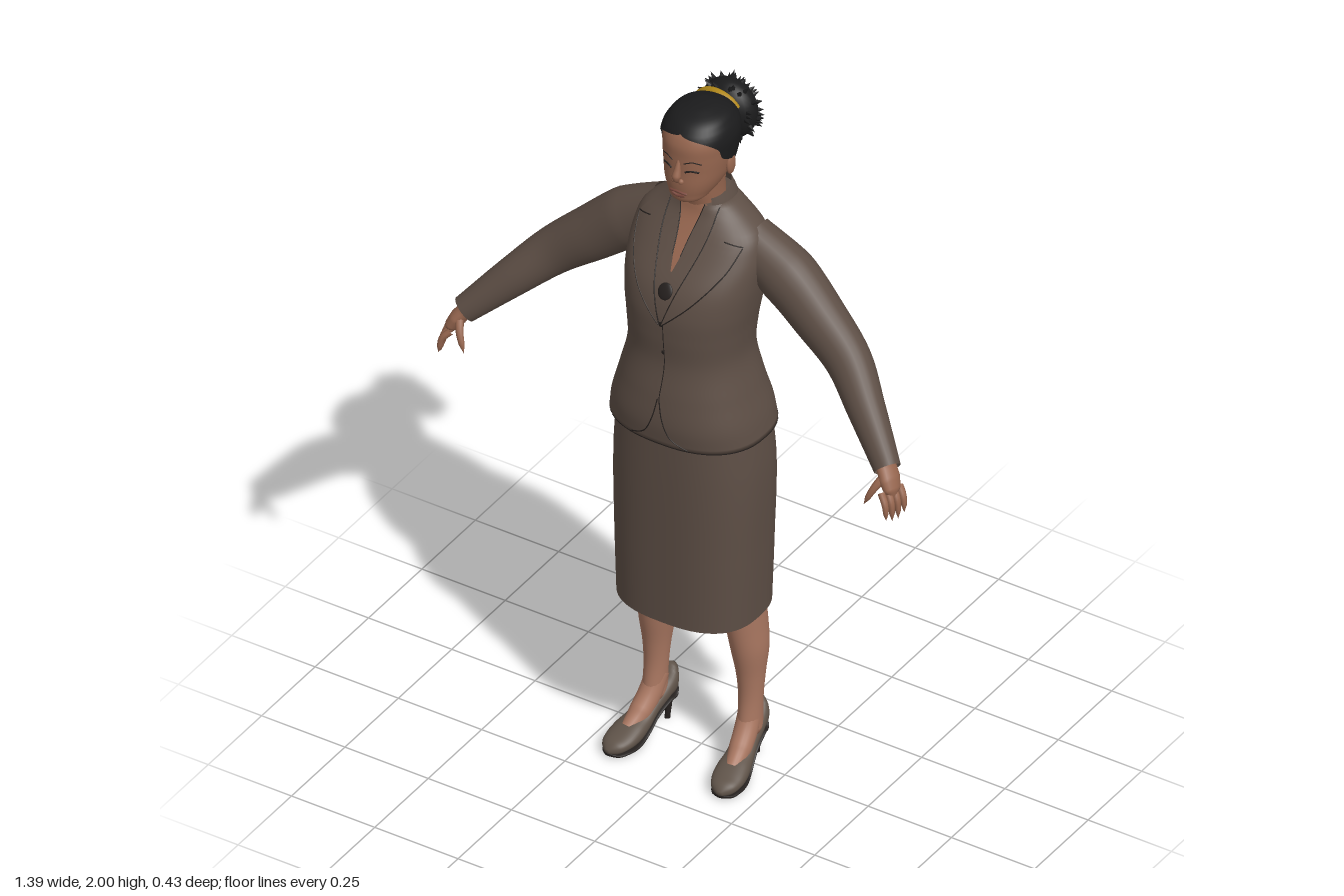
import * as THREE from 'three';
import { mergeVertices, mergeGeometries } from 'three/addons/utils/BufferGeometryUtils.js';

const mat = (name, color, side = THREE.FrontSide) => {
  const m = new THREE.MeshStandardMaterial({ color, side });
  m.name = name;
  return m;
};
const M = {
  suit: mat('suit brown', 0x5d4e45, THREE.DoubleSide),
  skin: mat('skin', 0x96664f),
  legs: mat('stockings', 0xa87660),
  hair: mat('hair black', 0x1b1b1c, THREE.DoubleSide),
  dark: mat('dark trim', 0x241f1d, THREE.DoubleSide),
  gold: mat('gold band', 0xb08718),
  shoe: mat('shoe taupe', 0x5f5349),
  lips: mat('lips', 0x7d4a3f),
};

function finish(g) {
  g.deleteAttribute('uv');
  g.deleteAttribute('normal');
  g = mergeVertices(g, 1e-5);
  g.computeVertexNormals();
  return g;
}
const add = (group, name, geo, material) => {
  const mesh = new THREE.Mesh(geo, material);
  mesh.name = name;
  group.add(mesh);
  return mesh;
};

// Smooth profile through rows of [y, half width, front z, back z, roundness, centre x]
function profile(rows) {
  const full = rows.map(([y, w, f, b, n = 2.2, c = 0]) => [y, w, f, b, n, c]);
  const curve = new THREE.CubicInterpolant(full.map(r => r[0]), full.flatMap(r => r.slice(1)), 5);
  return y => [...curve.evaluate(y)];
}

// Stacked cross-sections; gap(y) is the half angle left open at the front
function body(rows, { seg = 40, steps = 40, off = 0, gap = () => 0, caps = true } = {}) {
  const at = profile(rows), y0 = rows[0][0], y1 = rows[rows.length - 1][0];
  const pos = [], idx = [], n1 = seg + 1;
  for (let j = 0; j <= steps; j++) {
    const y = y0 + (y1 - y0) * j / steps, [w, f, b, n, c] = at(y), g = gap(y);
    for (let i = 0; i <= seg; i++) {
      const a = Math.PI / 2 + g + (i / seg) * (2 * Math.PI - 2 * g);
      const p = v => Math.sign(v) * Math.abs(v) ** (2 / n);
      pos.push(c + (w + off) * p(Math.cos(a)), y, (f + b) / 2 + ((f - b) / 2 + off) * p(Math.sin(a)));
      if (i < seg && j < steps) {
        const k = j * n1 + i;
        idx.push(k, k + n1, k + 1, k + 1, k + n1, k + n1 + 1);
      }
    }
  }
  if (caps) for (const j of [0, steps]) {
    const y = y0 + (y1 - y0) * j / steps, [, f, b, , c] = at(y), mid = pos.length / 3;
    pos.push(c, y, (f + b) / 2);
    for (let i = 0; i < seg; i++) {
      const k = j * n1 + i;
      idx.push(mid, ...(j ? [k + 1, k] : [k, k + 1]));
    }
  }
  const g = new THREE.BufferGeometry();
  g.setAttribute('position', new THREE.Float32BufferAttribute(pos, 3));
  g.setIndex(idx);
  return finish(g);
}

// Point on the front (side 1) or back (side -1) of a body profile
const surface = (rows, side = 1) => {
  const at = profile(rows);
  return (x, y, off) => {
    const [w, f, b, n, c] = at(y), t = Math.min(1, Math.abs(x - c) / w);
    return new THREE.Vector3(x, y, (f + b) / 2 + side * ((f - b) / 2 * (1 - t ** n) ** (1 / n) + off));
  };
};
const spline = pts => new THREE.SplineCurve(pts.map(p => new THREE.Vector2(...p)));
const flip = (pts, s) => pts.map(([x, ...r]) => [x * s, ...r]);

// Thin cloth panel laid on a surface between two edges, mirrored when s is -1
function panel(on, inner, outer, off, s = 1) {
  const [A, B] = (s > 0 ? [inner, outer] : [outer, inner]).map(e => spline(flip(e, s)));
  const pos = [], idx = [], R = 20, C = 6;
  for (let j = 0; j <= R; j++) for (let i = 0; i <= C; i++) {
    const p = A.getPointAt(j / R).lerp(B.getPointAt(j / R), i / C);
    pos.push(...on(p.x, p.y, off).toArray());
    const k = j * (C + 1) + i;
    if (i < C && j < R) idx.push(k, k + C + 1, k + 1, k + 1, k + C + 1, k + C + 2);
  }
  const g = new THREE.BufferGeometry();
  g.setAttribute('position', new THREE.Float32BufferAttribute(pos, 3));
  g.setIndex(idx);
  return finish(g);
}

// Tapered tube; radii are spread evenly along the path, zs widens it in z
function limb(pts, radii, { T = 24, R = 16, zs = 1 } = {}) {
  const curve = new THREE.CatmullRomCurve3(pts.map(p => new THREE.Vector3(...p)));
  const g = new THREE.TubeGeometry(curve, T, 1, R), p = g.attributes.position, v = new THREE.Vector3();
  for (let k = 0; k < p.count; k++) {
    const u = Math.floor(k / (R + 1)) / T, c = curve.getPointAt(u), q = u * (radii.length - 1);
    const i = Math.min(Math.floor(q), radii.length - 2);
    v.fromBufferAttribute(p, k).sub(c).multiplyScalar(THREE.MathUtils.lerp(radii[i], radii[i + 1], q - i));
    p.setXYZ(k, c.x + v.x, c.y + v.y, c.z + v.z * zs);
  }
  return finish(g);
}
const seam = (on, pts, r = 0.0016, off = 0) => {
  const c = spline(pts);
  return limb(c.getSpacedPoints(16).map(p => on(p.x, p.y, off).toArray()), [r, r], { R: 6 });
};

const JACKET = [[1.065, .216, .207, -.135, 2.4], [1.12, .207, .211, -.13, 2.4], [1.2, .186, .203, -.114, 2.3],
  [1.3, .163, .187, -.098, 2.3], [1.38, .167, .189, -.105, 2.3], [1.45, .177, .186, -.115, 2.3],
  [1.52, .185, .165, -.12, 2.3], [1.6, .186, .11, -.118, 2.3], [1.65, .168, .074, -.108, 2.3],
  [1.69, .118, .05, -.1], [1.72, .078, .042, -.09]];
const SKIRT = [[.495, .196, .19, -.122, 2.6], [.7, .203, .191, -.125, 2.6], [.95, .208, .192, -.13, 2.5], [1.12, .195, .19, -.118, 2.4]];
const HEAD = [[1.748, .018, .09, .045], [1.758, .042, .104, .01], [1.78, .06, .11, -.04], [1.81, .074, .113, -.073],
  [1.85, .083, .111, -.09], [1.89, .088, .11, -.099], [1.93, .089, .106, -.1], [1.96, .078, .088, -.088],
  [1.983, .054, .055, -.06], [1.994, .018, .018, -.028]];
const LEG = [[.1, .03, .04, -.045, 2, .143], [.2, .031, .026, -.045, 2, .142], [.27, .036, .03, -.053, 2, .141],
  [.36, .047, .047, -.068, 2, .138], [.43, .05, .058, -.07, 2, .132], [.5, .051, .067, -.065, 2, .128], [.6, .06, .08, -.07, 2, .12]];
// Shoe rows run heel to toe: [z, half width, -underside, -top]
const SHOE = [[-.077, .014, -.11, -.16], [-.06, .03, -.085, -.166], [-.03, .034, -.078, -.138], [.02, .034, -.053, -.106],
  [.06, .038, -.022, -.08], [.1, .044, -.009, -.066], [.14, .041, -.007, -.05], [.17, .026, -.007, -.038], [.182, .008, -.012, -.025]];

function buildSuit(g) {
  const chest = surface(JACKET);
  add(g, 'jacket', body(JACKET, { steps: 60, seg: 56 }), M.suit);
  add(g, 'jacketHem', body([[1.063, .2165, .2075, -.1355, 2.4], [1.066, .2165, .2075, -.1355, 2.4]], { steps: 1, seg: 56, caps: false }), M.dark);
  add(g, 'skirt', body(SKIRT, { caps: false, seg: 56 }), M.suit);
  add(g, 'skirtLining', body(SKIRT.slice(0, 3), { caps: false, off: -.004, seg: 56 }), M.dark);
  add(g, 'skirtSlit', seam(surface(SKIRT, -1), [[0, .5], [0, .6]], .0025), M.dark);
  add(g, 'backSeam', seam(surface(JACKET, -1), [[0, 1.08], [0, 1.17]], .0012), M.dark);

  // Standing collar, lower at the front
  const collar = body([[1.7, .088, .05, -.097], [1.73, .08, .05, -.09], [1.765, .067, .045, -.078]], { steps: 8, caps: false, gap: () => .75 });
  const p = collar.attributes.position;
  for (let i = 0; i < p.count; i++) p.setY(i, p.getY(i) - (p.getZ(i) + .08) * .25);
  collar.computeVertexNormals();
  add(g, 'collar', collar, M.suit);

  // Open neckline, blouse collar and lapels
  const vEdge = [[.042, 1.72], [.025, 1.65], [.002, 1.56]];
  add(g, 'neckline', panel(chest, flip(vEdge, -1), vEdge, .003), M.skin);
  const fold = [[.155, 1.635], [.135, 1.575], [.08, 1.5], [.005, 1.425]];
  const roll = [[.07, 1.715], [.062, 1.62], [.004, 1.43]];
  const point = [[.036, 1.72], [.02, 1.65], [.012, 1.595]];
  for (const s of [-1, 1]) {
    add(g, 'blouseCollar', panel(chest, point, [[.07, 1.72], [.055, 1.645], [.014, 1.595]], .006, s), M.suit);
    add(g, 'lapel', panel(chest, roll, [[.1, 1.695], ...fold], .008, s), M.suit);
    add(g, 'lapelOuterSeam', seam(chest, flip(fold, s), .0018, .007), M.dark);
    add(g, 'lapelInnerSeam', seam(chest, flip(roll, s), .0018, .007), M.dark);
    add(g, 'lapelNotch', seam(chest, flip([[.155, 1.637], [.11, 1.648]], s), .0018, .007), M.dark);
    add(g, 'blouseSeam', seam(chest, flip(point, s), .0016, .005), M.dark);
    add(g, 'cutawaySeam', seam(chest, flip([[.002, 1.2], [.015, 1.14], [.04, 1.09], [.085, 1.067]], s)), M.dark);
    add(g, 'sleeve', limb(flip([[.12, 1.605, -.035], [.24, 1.53, -.035], [.34, 1.45, -.022], [.44, 1.37, 0], [.53, 1.285, .055], [.635, 1.18, .12]], s),
      [.07, .082, .073, .062, .05, .037], { T: 36, R: 24, zs: .9 }), M.suit);
  }
  add(g, 'frontSeam', seam(chest, [[.004, 1.42], [.008, 1.3], [.002, 1.2]], .0012), M.dark);
  for (const [name, x, y, r] of [['brooch', 0, 1.515, .021], ['button', 0, 1.425, .007], ['button', .006, 1.34, .005]]) {
    const m = add(g, name, new THREE.SphereGeometry(r, 16, 10).scale(1, 1.1, .25), M.dark);
    m.position.copy(chest(x, y, .003));
    m.rotation.x = y > 1.5 ? -.5 : 0;
  }
}

function buildHead(g) {
  const face = surface(HEAD);
  add(g, 'neck', body([[1.62, .058, .05, -.07], [1.7, .053, .045, -.07], [1.75, .052, .055, -.07], [1.81, .055, .06, -.07]]), M.skin);
  add(g, 'head', body(HEAD), M.skin);
  add(g, 'nose', limb([[0, 1.89, .105], [0, 1.86, .113], [0, 1.835, .119], [0, 1.82, .11]], [.004, .008, .012, .003]), M.skin);
  add(g, 'upperLip', seam(face, [[-.024, 1.788], [0, 1.792], [.024, 1.788]], .004), M.lips);
  add(g, 'lowerLip', seam(face, [[-.018, 1.783], [0, 1.779], [.018, 1.783]], .0045), M.lips);
  for (const s of [-1, 1]) {
    add(g, 'eye', seam(face, flip([[.02, 1.857], [.035, 1.862], [.052, 1.858]], s), .0028), M.dark);
    add(g, 'eyebrow', seam(face, flip([[.017, 1.882], [.038, 1.889], [.058, 1.882]], s), .0015), M.dark);
    add(g, 'nostril', new THREE.SphereGeometry(.008, 12, 8).translate(s * .01, 1.826, .112), M.skin);
    add(g, 'ear', new THREE.SphereGeometry(1, 16, 12).scale(.009, .031, .018).translate(s * .084, 1.84, -.006), M.skin);
  }

  // Swept-back hair with an open face
  const line = new THREE.CubicInterpolant([1.765, 1.8, 1.85, 1.88, 1.92, 1.942, 1.954, 2], [2.5, 2.2, 1.75, 1.3, 1.05, .6, 0, 0], 1);
  const hairRows = [[1.765, .05, .08, -.076], ...HEAD.slice(3)];
  add(g, 'hair', body(hairRows, { off: .006, steps: 60, gap: y => Math.max(0, line.evaluate(y)[0]) }).translate(0, .005, 0), M.hair);

  // Spiky bun
  let seed = 7;
  const rnd = () => (seed = (seed * 16807) % 2147483647) / 2147483647;
  const size = new THREE.Vector3(.08, .086, .055), up = new THREE.Vector3(0, 1, 0);
  const parts = [new THREE.SphereGeometry(1, 24, 16).scale(...size)];
  for (let i = 0; i < 70; i++) {
    const a = i * 2.4, h = .5 - 1.4 * rnd(), r = Math.sqrt(1 - h * h);
    const dir = new THREE.Vector3(r * Math.cos(a), r * Math.sin(a), h);
    const spike = new THREE.ConeGeometry(.013, .025 + .018 * rnd(), 5);
    spike.applyQuaternion(new THREE.Quaternion().setFromUnitVectors(up, dir));
    parts.push(spike.translate(...dir.clone().multiply(size).toArray()));
  }
  add(g, 'bun', mergeGeometries(parts), M.hair).position.set(-.015, 1.888, -.153);
  const band = add(g, 'hairBand', new THREE.TorusGeometry(.064, .011, 10, 24, 2.1).rotateZ((Math.PI - 2.1) / 2), M.gold);
  band.position.set(-.015, 1.907, -.103);
  band.rotation.x = .15;
}

function buildLimbs(g) {
  for (const s of [-1, 1]) {
    // Hands
    add(g, 'palm', limb(flip([[.615, 1.2, .107], [.642, 1.165, .125], [.66, 1.135, .137], [.672, 1.11, .145]], s), [.024, .021, .022, .018, 0], { zs: 1.6 }), M.skin);
    for (let i = 0; i < 4; i++) {
      const z = .115 + .019 * i, x = .674 - .006 * i, drop = [.045, .056, .055, .045][i];
      add(g, 'finger', limb(flip([[x - .01, 1.135, z - .006], [x + .009, 1.113, z + .006], [x + .016, 1.115 - drop, z + .012]], s),
        [.0095, .0095, .0085, .007, 0], { T: 12, R: 8 }), M.skin);
    }
    add(g, 'thumb', limb(flip([[.638, 1.17, .14], [.62, 1.135, .165], [.6, 1.09, .177]], s), [.012, .012, .01, .008, 0], { T: 12, R: 8 }), M.skin);

    // Legs and shoes
    add(g, 'leg', body(LEG.map(r => [...r.slice(0, 5), r[5] * s])), M.legs);
    const foot = new THREE.Group();
    foot.name = 'foot';
    foot.position.x = s * .142;
    foot.rotation.y = s * .15;
    add(foot, 'instep', limb([[0, .17, -.015], [0, .115, .015], [0, .07, .06], [0, .045, .1]], [.03, .031, .03, .022], { R: 20 }), M.legs);
    add(foot, 'shoe', body(SHOE).rotateX(Math.PI / 2), M.shoe);
    const sole = SHOE.map(([z, w, f]) => [z, w * .97, f + .006, f - .004, 3]);
    add(foot, 'sole', body(sole).rotateX(Math.PI / 2), M.dark);
    add(foot, 'heel', limb([[0, .1, -.055], [0, .05, -.056], [0, .001, -.05]], [.024, .013, .009, .008, .007]), M.dark);
    add(foot, 'heelTip', new THREE.CylinderGeometry(.008, .008, .006, 12).translate(0, .003, -.05), M.dark);
    g.add(foot);
  }
}

export function createModel() {
  const model = new THREE.Group();
  model.name = 'womanInSuit';
  for (const [name, build] of [['suit', buildSuit], ['headAndHair', buildHead], ['limbs', buildLimbs]]) {
    const g = new THREE.Group();
    g.name = name;
    build(g);
    model.add(g);
  }
  return model;
}
